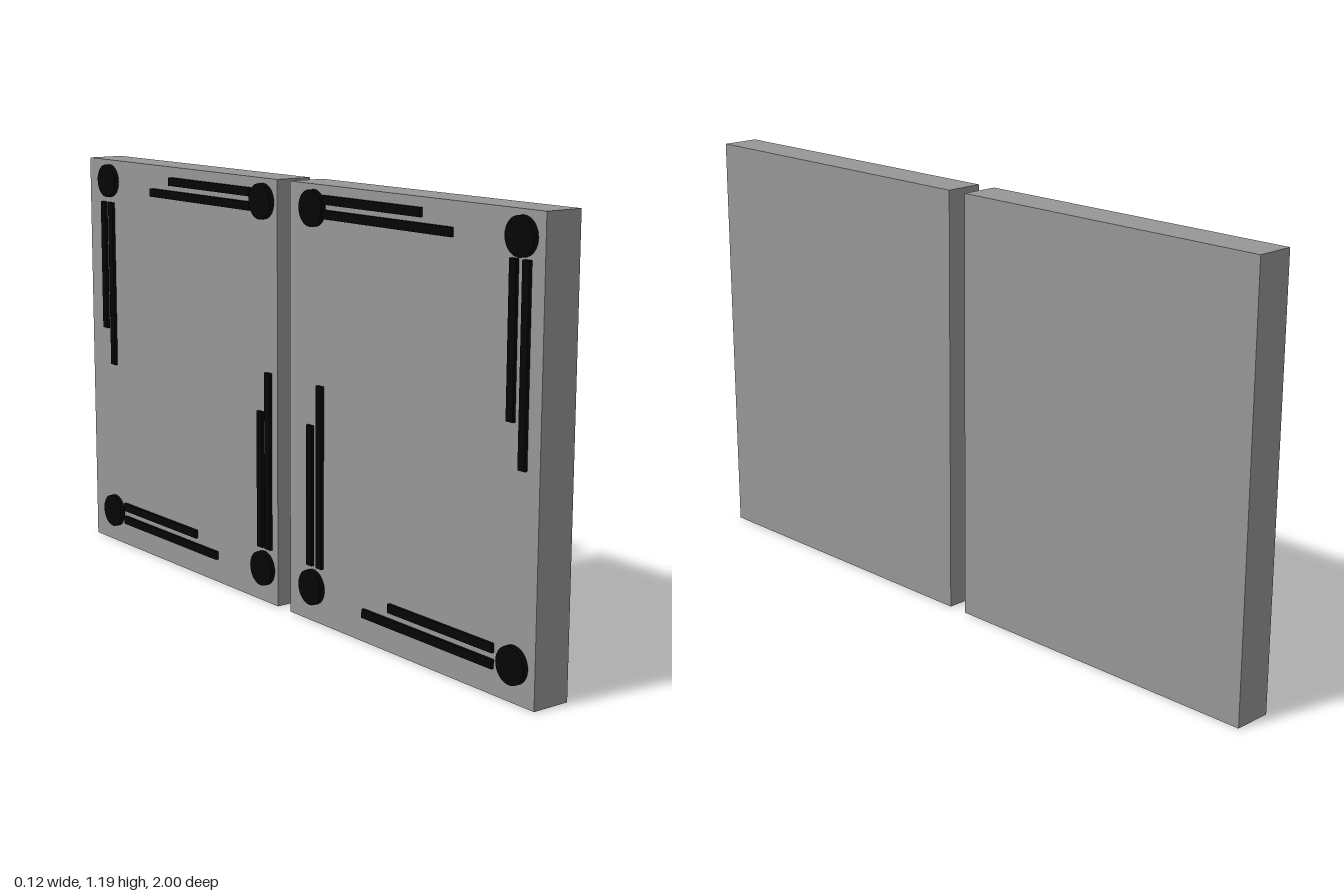
import * as THREE from 'three';

const grey = new THREE.MeshStandardMaterial({ color: 0x979797 });
const black = new THREE.MeshStandardMaterial({ color: 0x050505 });

const HEIGHT = 1.193, FACE = -0.048, FRONT = 0.062; // panel height, x of its two faces
const DISC_DEPTH = 0.015, STRIP_DEPTH = 0.009, STRIP_WIDTH = 0.024;

// Box given by its extents in x, y and z
function box(name, material, [x0, x1], [y0, y1], [z0, z1]) {
  const mesh = new THREE.Mesh(new THREE.BoxGeometry(x1 - x0, y1 - y0, z1 - z0), material);
  mesh.position.set((x0 + x1) / 2, (y0 + y1) / 2, (z0 + z1) / 2);
  mesh.name = name;
  return mesh;
}

// Round pad standing on the -x face
function disc(y, z) {
  const geometry = new THREE.CylinderGeometry(0.049, 0.049, DISC_DEPTH, 32).rotateZ(Math.PI / 2);
  const mesh = new THREE.Mesh(geometry, black);
  mesh.position.set(FACE - DISC_DEPTH / 2, y, z);
  mesh.name = 'cornerDisc';
  return mesh;
}

const around = (c) => [c - STRIP_WIDTH / 2, c + STRIP_WIDTH / 2];
const depth = [FACE - STRIP_DEPTH, FACE];
const upright = (z, y0, y1) => box('uprightStrip', black, depth, [y0, y1], around(z));
const level = (y, z0, z1) => box('levelStrip', black, depth, around(y), [z0, z1]);

function panel(name, zRange, discZ, strips) {
  const group = new THREE.Group();
  group.name = name;
  group.add(box('slab', grey, [FACE, FRONT], [0, HEIGHT], zRange));
  for (const z of discZ) for (const y of [0.098, 1.13]) group.add(disc(y, z));
  group.add(...strips);
  return group;
}

export function createModel() {
  const model = new THREE.Group();
  model.name = 'panelPair';

  // Each disc sends out one long and one short strip along an edge
  model.add(panel('rearPanel', [-1, -0.029], [-0.885, -0.092], [
    upright(-0.916, 0.675, 1.065), upright(-0.874, 0.565, 1.065),
    upright(-0.104, 0.157, 0.547), upright(-0.067, 0.157, 0.66),
    level(1.151, -0.55, -0.15), level(1.112, -0.65, -0.15),
    level(0.121, -0.825, -0.427), level(0.08, -0.825, -0.322),
  ]));
  model.add(panel('frontPanel', [0.029, 1], [0.135, 0.927], [
    upright(0.124, 0.157, 0.547), upright(0.167, 0.157, 0.66),
    upright(0.901, 0.69, 1.077), upright(0.945, 0.58, 1.077),
    level(1.155, 0.18, 0.57), level(1.117, 0.18, 0.685),
    level(0.121, 0.46, 0.857), level(0.08, 0.354, 0.857),
  ]));
  return model;
}
